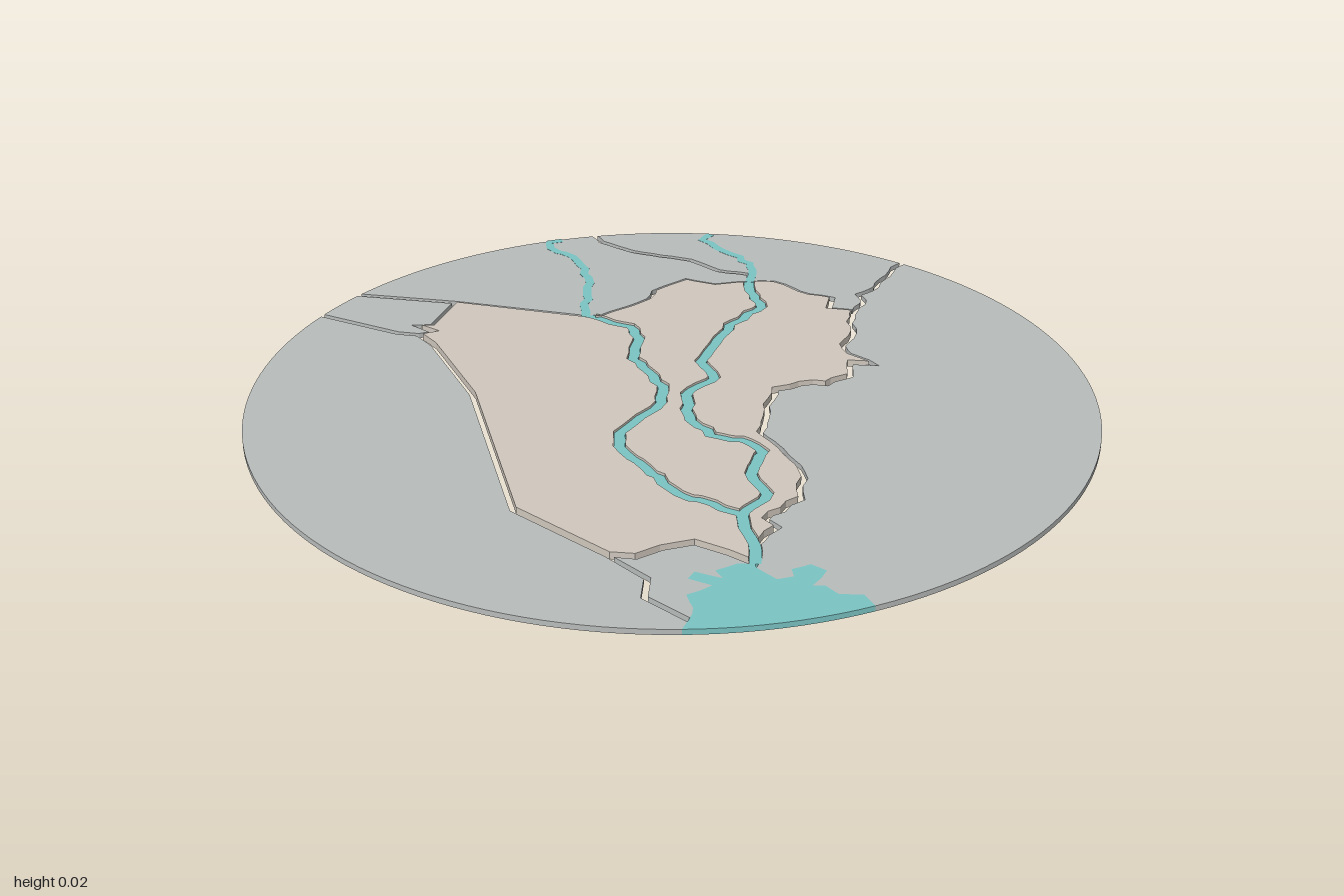
import * as THREE from 'three';

const LAND = 0xb8bcba, CENTRE = 0xd0c8be, WATER = 0x7cc4c4;
const LOW = 0.013, HIGH = 0.018;        // plate thicknesses
const B = 0.007, R = 0.014;             // half gaps: border, river

let seed = 7;
const rnd = () => (seed = (seed * 16807) % 2147483647) / 2147483647 - 0.5;

// Polyline from flat x,z numbers; rough > 0 adds small jagged steps
function line(flat, rough = 0) {
  const pts = [];
  for (let i = 0; i < flat.length; i += 2) pts.push([flat[i], flat[i + 1]]);
  if (!rough) return pts;
  const out = [pts[0]];
  for (let i = 1; i < pts.length; i++) {
    const [ax, az] = pts[i - 1], [bx, bz] = pts[i];
    const n = Math.max(1, Math.round(Math.hypot(bx - ax, bz - az) / 0.028));
    for (let k = 1; k < n; k++) {
      out.push([ax + (bx - ax) * k / n + rnd() * rough, az + (bz - az) * k / n + rnd() * rough]);
    }
    out.push(pts[i]);
  }
  return out;
}

const rim = (x, z) => { const l = Math.hypot(x, z); return [x / l, z / l]; };
const rev = (l) => [...l].reverse();

// Rim arc with rising angle (from +x towards +z)
function arc(p, q) {
  const a = Math.atan2(p[1], p[0]);
  let b = Math.atan2(q[1], q[0]);
  if (b < a) b += Math.PI * 2;
  const n = Math.ceil((b - a) / 0.04), pts = [];
  for (let i = 0; i <= n; i++) {
    const t = a + (b - a) * i / n;
    pts.push([Math.cos(t), Math.sin(t)]);
  }
  return pts;
}

function plate(name, pts, y0, y1, color) {
  const shape = new THREE.Shape(pts.map(([x, z]) => new THREE.Vector2(x, -z)));
  const geo = new THREE.ExtrudeGeometry(shape, { depth: y1 - y0, bevelEnabled: false });
  geo.rotateX(-Math.PI / 2).translate(0, y0, 0);
  const mesh = new THREE.Mesh(geo, new THREE.MeshStandardMaterial({ color, side: THREE.DoubleSide }));
  mesh.name = name;
  return mesh;
}

// Joins [polyline, halfGap] sides into a loop and pulls each side in by its gap
function inset(sides) {
  const p = [], w = [];
  for (const [pts, gap] of sides) {
    for (let i = 0; i < pts.length - 1; i++) { p.push(pts[i]); w.push(gap); }
  }
  const n = p.length;
  let area = 0;
  for (let i = 0; i < n; i++) {
    const q = p[(i + 1) % n];
    area += p[i][0] * q[1] - q[0] * p[i][1];
  }
  const s = Math.sign(area);
  const normal = (i) => {
    const a = p[i], b = p[(i + 1) % n], l = Math.hypot(b[0] - a[0], b[1] - a[1]) || 1;
    return [-s * (b[1] - a[1]) / l, s * (b[0] - a[0]) / l];
  };
  return p.map(([x, z], i) => {
    const j = (i + n - 1) % n, n1 = normal(j), n2 = normal(i), w1 = w[j], w2 = w[i];
    const c = n1[0] * n2[0] + n1[1] * n2[1], k = 1 - c * c;
    let d;
    if (k < 0.05) d = [0, 1].map((e) => (n1[e] * w1 + n2[e] * w2) / 2);
    else d = [0, 1].map((e) => (w1 * (n1[e] - c * n2[e]) + w2 * (n2[e] - c * n1[e])) / k);
    const len = Math.hypot(...d), max = 2 * Math.max(w1, w2);
    const f = len > max ? max / len : 1;
    return [x + d[0] * f, z + d[1] * f];
  });
}

// Closed outline of a strip around a polyline
function strip(pts, half) {
  const side = (s) => pts.map(([x, z], i) => {
    const a = pts[Math.max(0, i - 1)], b = pts[Math.min(pts.length - 1, i + 1)];
    const l = Math.hypot(b[0] - a[0], b[1] - a[1]);
    return [x - s * half * (b[1] - a[1]) / l, z + s * half * (b[0] - a[0]) / l];
  });
  return [...side(1), ...rev(side(-1))];
}

export function createModel() {
  seed = 7;
  const group = new THREE.Group();
  group.name = 'reliefMap';

  // Rim points
  const rN = rim(0, -1), rNW = rim(-0.77, -0.64), rW = rim(-1, 0.04), rSW = rim(-0.98, 0.187);
  const rE = rim(0.88, 0.47), rSE = rim(0.63, 0.775);

  // Shared borders
  const northEast = line([...rN, 0.015, -0.88, 0.03, -0.83, 0.02, -0.76, 0.05, -0.74, 0.07, -0.67], 0.014);
  const northWest = line([...rNW, -0.73, -0.62, -0.62, -0.62, -0.46, -0.67, -0.36, -0.66, -0.28, -0.69, -0.25, -0.65], 0.004);
  const north = line([-0.25, -0.65, -0.20, -0.69, -0.08, -0.68, -0.02, -0.70, 0.01, -0.64, 0.07, -0.67], 0.008);
  const east = line([0.07, -0.67, 0.10, -0.60, 0.14, -0.56, 0.16, -0.48, 0.20, -0.45, 0.28, -0.44, 0.23, -0.41,
    0.27, -0.35, 0.25, -0.28, 0.20, -0.24, 0.17, -0.18, 0.22, -0.08, 0.27, 0.02, 0.38, 0.07, 0.45, 0.11,
    0.52, 0.21, 0.51, 0.33, 0.55, 0.34, 0.555, 0.43], 0.014);
  const west = line([-0.25, -0.65, -0.31, -0.58, -0.39, -0.56, -0.41, -0.45, -0.39, -0.40, -0.42, -0.25, -0.45, -0.22], 0.006);
  const westStraight = line([-0.45, -0.22, -0.77, -0.08]);
  const farWest = line([-0.77, -0.08, ...rW]);
  const westNotch = line([-0.77, -0.08, -0.72, 0.06, -0.75, 0.085, -0.69, 0.085, -0.71, 0.12]);
  const southWest = line([-0.71, 0.12, -0.76, 0.145, ...rSW]);
  const south = line([-0.71, 0.12, -0.64, 0.14, -0.38, 0.28, 0.06, 0.63, 0.34, 0.65]);
  const bayNorth = line([0.60, 0.49, 0.53, 0.49, 0.45, 0.50, 0.41, 0.56, 0.39, 0.62, 0.34, 0.65]);
  const baySouth = line([0.34, 0.65, 0.46, 0.67, 0.50, 0.73, 0.62, 0.74]);

  // Rivers
  const upperRiver = line([-0.25, -0.65, -0.21, -0.60, -0.13, -0.54, -0.13, -0.40, -0.06, -0.19, 0.02, -0.14, 0.02, -0.03,
    0.11, 0.07, 0.19, 0.10, 0.26, 0.075, 0.33, 0.09, 0.37, 0.19, 0.45, 0.24, 0.46, 0.345], 0.014);
  const lowerRiver = line([-0.45, -0.22, -0.40, -0.23, -0.32, -0.24, -0.26, -0.20, -0.20, -0.10, -0.05, -0.03, 0, 0.04,
    0.02, 0.22, 0.06, 0.27, 0.14, 0.30, 0.30, 0.36, 0.46, 0.345], 0.012);
  const joinedRiver = line([0.46, 0.345, 0.50, 0.39, 0.555, 0.43], 0.006);
  const estuary = line([0.555, 0.43, 0.60, 0.49], 0.004);
  const northStream = line([-0.525, -0.845, -0.52, -0.80, -0.40, -0.77, -0.32, -0.75, -0.27, -0.69, -0.25, -0.65], 0.016);
  const westStream = line([-0.82, -0.56, -0.84, -0.53, -0.81, -0.50, -0.70, -0.48, -0.60, -0.41, -0.53, -0.32, -0.45, -0.22], 0.016);

  // Coast
  const coastEast = line([0.60, 0.49, 0.61, 0.50, 0.67, 0.51, 0.69, 0.48, 0.67, 0.46, 0.69, 0.42, 0.73, 0.42, 0.74, 0.485,
    0.76, 0.47, 0.80, 0.48, 0.84, 0.45, ...rE], 0.006);
  const coastBay = line([0.60, 0.49, 0.57, 0.51, 0.55, 0.56, 0.58, 0.575, 0.52, 0.59, 0.525, 0.62, 0.58, 0.61,
    0.56, 0.67, 0.60, 0.70, 0.62, 0.74], 0.006);
  const coastSouth = line([0.62, 0.74, ...rSE]);

  const land = (name, sides, top = LOW, color = LAND) => group.add(plate(name, inset(sides), 0, top, color));

  // Outer plates
  land('northPlate', [[northEast, B], [rev(north), B], [rev(northWest), B], [arc(rNW, rN), 0]]);
  land('northWestPlate', [[northWest, B], [west, B], [westStraight, B], [farWest, B], [arc(rW, rNW), 0]]);
  land('westPlate', [[rev(farWest), B], [westNotch, B], [southWest, B], [arc(rSW, rW), 0]]);
  land('southPlate', [[rev(southWest), B], [south, B], [baySouth, B], [coastSouth, 0], [arc(rSE, rSW), 0]]);
  land('bayPlate', [[bayNorth, B], [baySouth, B], [rev(coastBay), 0]]);
  land('eastPlate', [[arc(rN, rE), 0], [rev(coastEast), 0], [rev(estuary), R], [rev(east), B], [rev(northEast), B]]);
  land('sea', [[arc(rE, rSE), 0], [rev(coastSouth), 0], [rev(coastBay), 0], [coastEast, 0]], LOW, WATER);

  // Raised central plates, parted by the rivers
  land('centreEastPlate', [[north, B], [east, B], [rev(joinedRiver), R], [rev(upperRiver), R]], HIGH, CENTRE);
  land('centreMiddlePlate', [[upperRiver, R], [rev(lowerRiver), R], [rev(west), B]], HIGH, CENTRE);
  land('centreSouthPlate', [[lowerRiver, R], [joinedRiver, R], [estuary, R], [bayNorth, B], [rev(south), B],
    [rev(westNotch), B], [rev(westStraight), B]], HIGH, CENTRE);

  // River strips; the outer streams show on both faces of the plates
  const water = (name, pts, half, lift = 0) =>
    group.add(plate(name, strip(pts, half), -lift, LOW + lift, WATER));
  water('upperRiver', [...upperRiver, ...joinedRiver.slice(1), ...estuary.slice(1)], 0.013);
  water('lowerRiver', lowerRiver, 0.013);
  water('northStream', northStream, 0.011, 0.0005);
  water('westStream', westStream, 0.011, 0.0005);
  return group;
}
